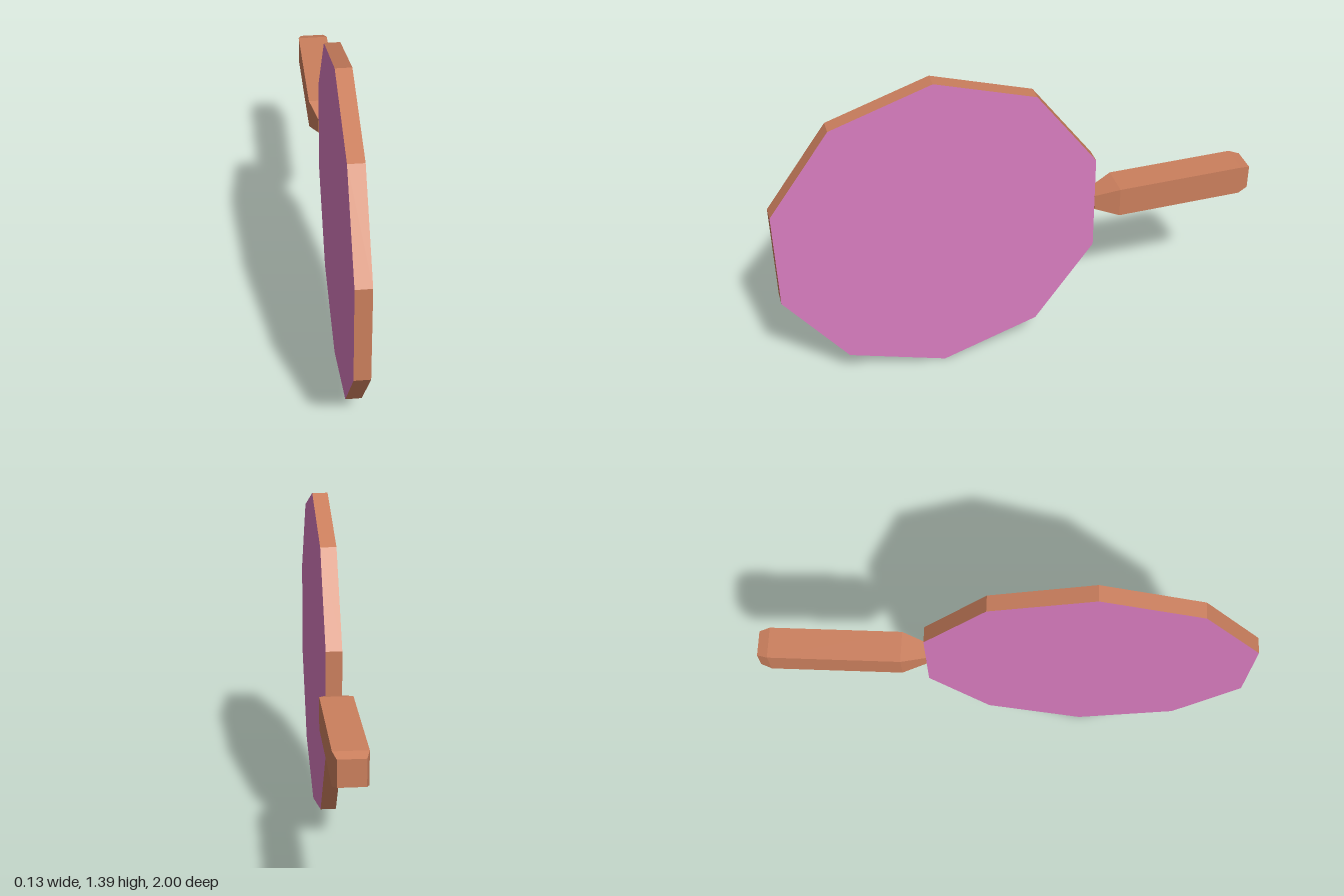
import * as THREE from 'three';

// Hard-edged facets: unshare the vertices and recompute the normals
function faceted(geometry) {
  const flat = geometry.toNonIndexed();
  flat.computeVertexNormals();
  return flat;
}

export function createModel() {
  const model = new THREE.Group();
  model.name = 'paddle';

  const wood = new THREE.MeshStandardMaterial({ color: 0xcb7f5d });
  wood.name = 'wood';
  const pink = new THREE.MeshStandardMaterial({ color: 0xd87cbf });
  pink.name = 'pink rubber';

  const centreY = 0.693;

  // Ten-sided blade: wooden rim, pink on both faces
  const bladeGeometry = new THREE.CylinderGeometry(0.693, 0.693, 0.064, 10, 1, false, Math.PI / 2);
  bladeGeometry.rotateZ(Math.PI / 2);
  const blade = new THREE.Mesh(faceted(bladeGeometry), [wood, pink, pink]);
  blade.name = 'blade';
  blade.position.set(0, centreY, 0.341);
  model.add(blade);

  // Square handle, tapered at the neck and bevelled at the end: [distance behind centre, half width]
  const sections = [[0.318, 0], [0.318, 0.033], [0.418, 0.065], [0.957, 0.065], [1, 0.052], [1, 0]];
  const profile = sections.map(([d, half]) => new THREE.Vector2(half * Math.SQRT2, d));
  const handleGeometry = new THREE.LatheGeometry(profile, 4, Math.PI / 4);
  handleGeometry.rotateX(-Math.PI / 2);
  const handle = new THREE.Mesh(faceted(handleGeometry), wood);
  handle.name = 'handle';
  handle.position.y = centreY + 0.003;
  model.add(handle);

  return model;
}
